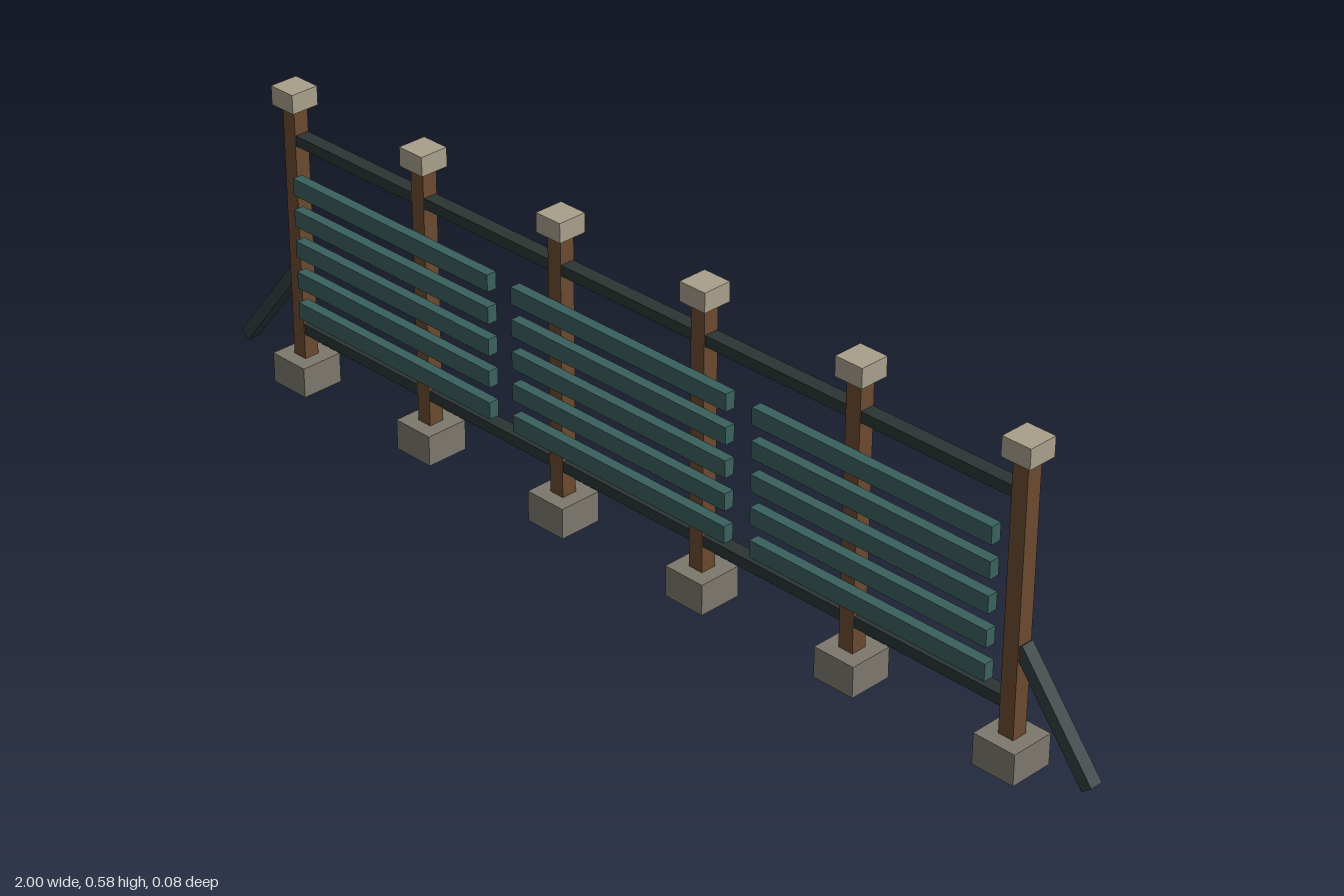
import * as THREE from 'three';

export function createModel() {
  const root = new THREE.Group();
  root.name = 'slattedFence';

  const mat = (color) => new THREE.MeshStandardMaterial({ color });
  const wood = mat(0x6b4a2f);
  const stone = mat(0x7d786d);
  const capStone = mat(0xa9a08c);
  const slatPaint = mat(0x3a615d);
  const railMetal = mat(0x2b3533);
  const braceMetal = mat(0x333d40);

  const box = (name, w, h, d, x, y, z, material, parent = root) => {
    const mesh = new THREE.Mesh(new THREE.BoxGeometry(w, h, d), material);
    mesh.name = name;
    mesh.position.set(x, y, z);
    parent.add(mesh);
    return mesh;
  };

  // Posts, each with a footing and a cap
  for (const x of [-0.833, -0.5, -0.166, 0.163, 0.497, 0.831]) {
    const post = new THREE.Group();
    post.name = 'post';
    post.position.x = x;
    root.add(post);
    box('footing', 0.084, 0.058, 0.084, 0, 0.029, 0, stone, post);
    box('shaft', 0.03, 0.51, 0.03, 0, 0.3, 0, wood, post);
    box('cap', 0.056, 0.036, 0.056, 0, 0.567, 0, capStone, post);
  }

  // Long rails running through the posts
  box('topRail', 1.666, 0.02, 0.027, 0, 0.489, 0, railMetal);
  box('bottomRail', 1.666, 0.02, 0.027, 0, 0.117, 0, railMetal);

  // Three panels of five slats on the front
  for (const x of [-0.556, -0.002, 0.551]) {
    const panel = new THREE.Group();
    panel.name = 'slatPanel';
    panel.position.x = x;
    root.add(panel);
    for (let i = 0; i < 5; i++) {
      box('slat', 0.497, 0.032, 0.02, 0, 0.169 + i * 0.061, 0.025, slatPaint, panel);
    }
  }

  // Sloping braces at both ends
  const foot = new THREE.Vector2(0.991, 0.038);
  const head = new THREE.Vector2(0.842, 0.225);
  const run = head.clone().sub(foot);
  for (const side of [-1, 1]) {
    const brace = box(side > 0 ? 'leftBrace' : 'rightBrace', run.length(), 0.023, 0.025,
      side * (foot.x + head.x) / 2, (foot.y + head.y) / 2, 0, braceMetal);
    brace.rotation.z = Math.atan2(run.y, side * run.x);
  }

  return root;
}
